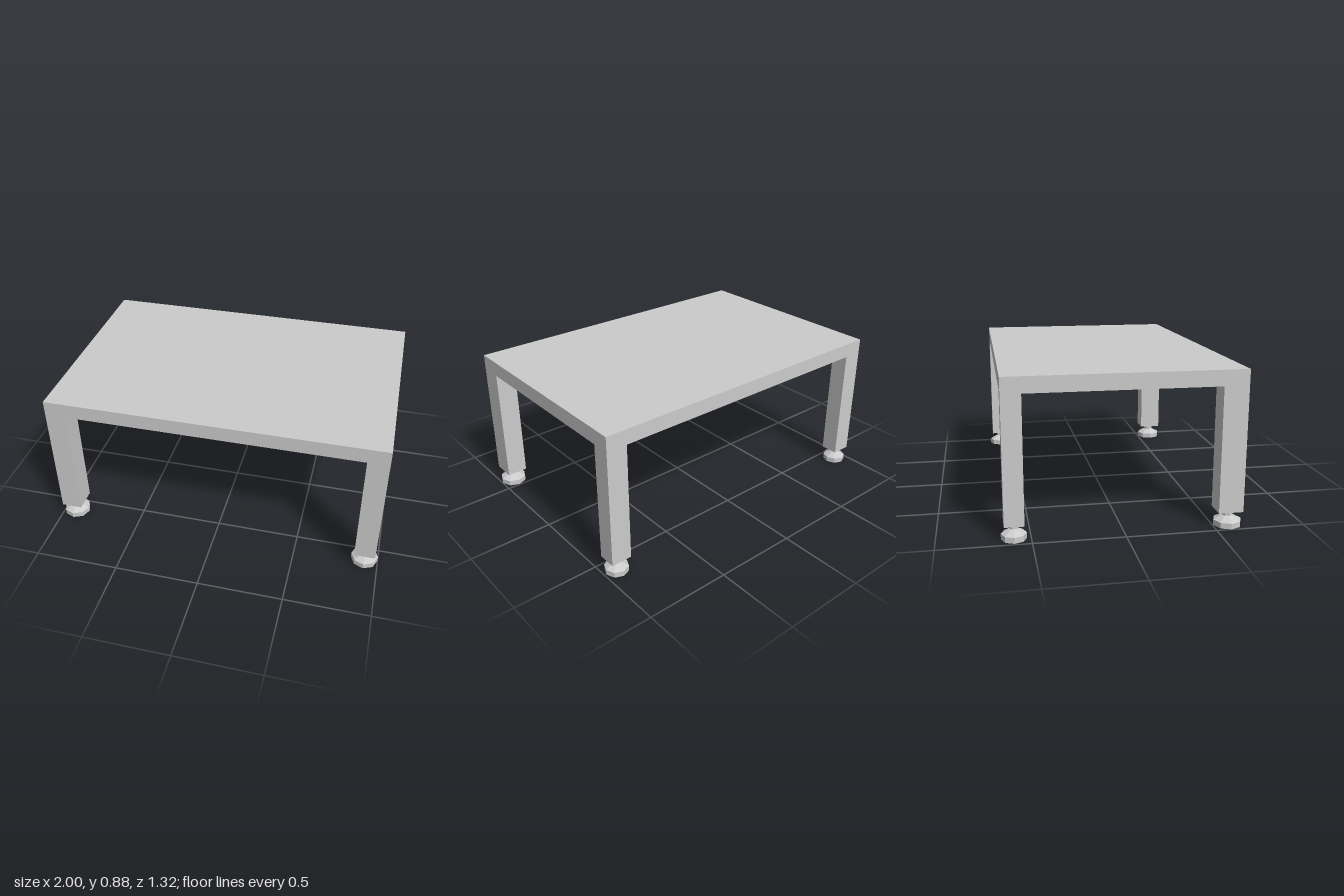
import * as THREE from 'three';

const TOP = 0.882, SLAB_BOTTOM = 0.794, LEG_BOTTOM = 0.089;
const HALF_X = 0.982, FRONT = 0.653, BACK = -0.645, LEG_WIDTH = 0.123;

export function createModel() {
  const group = new THREE.Group();
  const material = new THREE.MeshStandardMaterial({ color: 0xcccccc, flatShading: true });

  const add = (name, geometry, x, y, z) => {
    const mesh = new THREE.Mesh(geometry, material);
    mesh.name = name;
    mesh.position.set(x, y, z);
    group.add(mesh);
  };

  // Table top
  add('tableTop', new THREE.BoxGeometry(HALF_X * 2, TOP - SLAB_BOTTOM, FRONT - BACK),
    0, (TOP + SLAB_BOTTOM) / 2, (FRONT + BACK) / 2);

  // Eight-sided levelling foot: flat pad, sloped shoulder and stem
  const footGeometry = (radius, stem) => new THREE.LatheGeometry([
    [0, 0], [radius, 0], [radius, 0.032], [stem, 0.059], [stem, LEG_BOTTOM],
  ].map(([r, y]) => new THREE.Vector2(r, y)), 8);

  // Front legs are deeper than the back ones, with larger feet
  const rows = [
    { name: 'front', depth: 0.139, z: FRONT - 0.139 / 2, radius: 0.079, stem: 0.029 },
    { name: 'back', depth: 0.107, z: BACK + 0.107 / 2, radius: 0.069, stem: 0.021 },
  ];
  for (const { name, depth, z, radius, stem } of rows) {
    for (const side of [1, -1]) {
      const label = name + (side > 0 ? 'Left' : 'Right');
      const x = side * (HALF_X - LEG_WIDTH / 2);
      add(label + 'Leg', new THREE.BoxGeometry(LEG_WIDTH, SLAB_BOTTOM - LEG_BOTTOM, depth),
        x, (SLAB_BOTTOM + LEG_BOTTOM) / 2, z);
      add(label + 'Foot', footGeometry(radius, stem), x, 0, z);
    }
  }
  return group;
}
